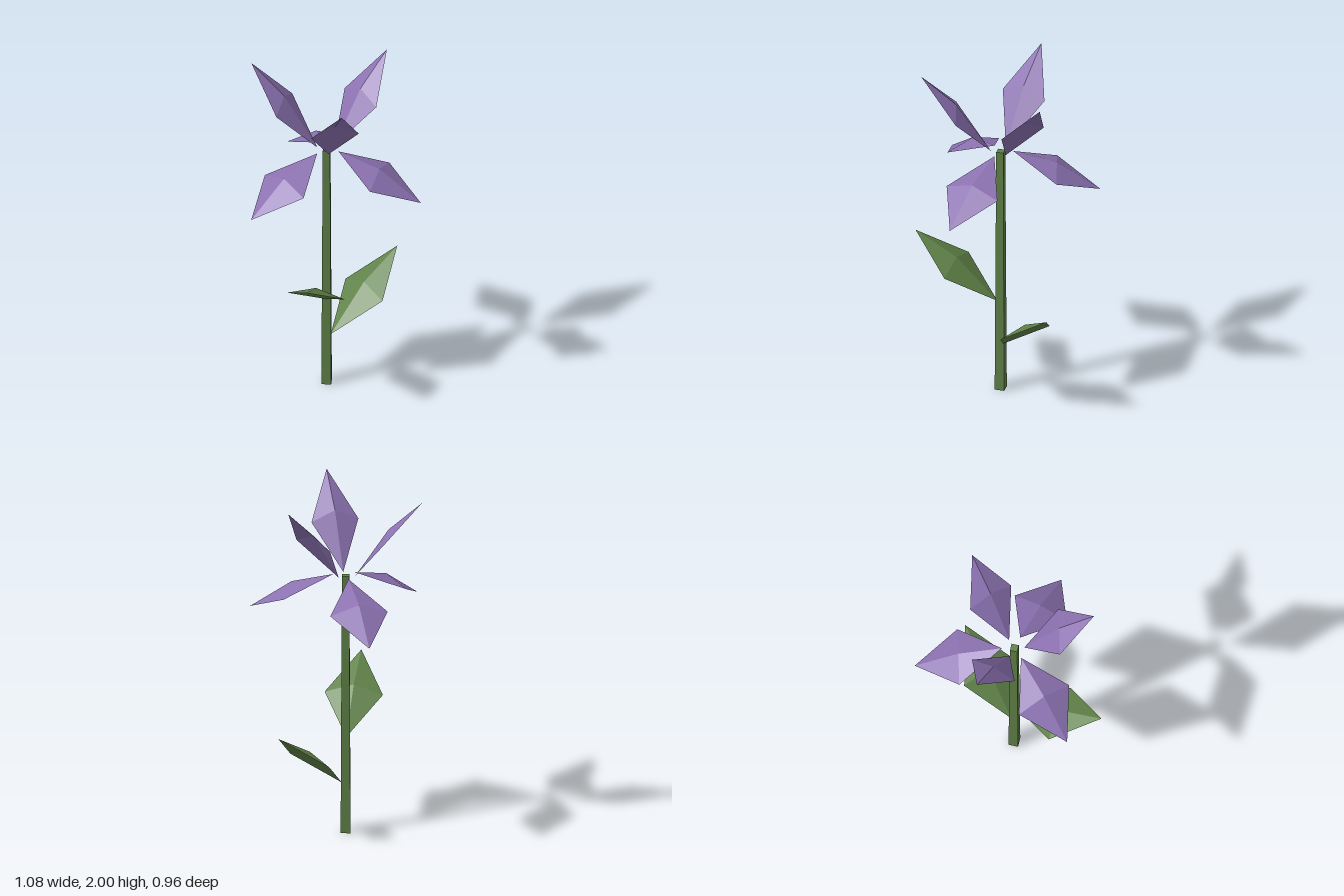
import * as THREE from 'three';

const material = (name, color) =>
  new THREE.MeshStandardMaterial({ name, color, flatShading: true, side: THREE.DoubleSide });

// Diamond blade pointing along +x: four facets meeting at a raised point on the midrib.
// Base and tip are [radius, height]; the blade is an open folded sheet.
function bladeGeometry(base, tip, halfWidth, ridge) {
  const r = (base[0] + tip[0]) / 2;
  const y = (base[1] + tip[1]) / 2;
  const rim = [
    [base[0], base[1], 0],
    [r, y, halfWidth],
    [tip[0], tip[1], 0],
    [r, y, -halfWidth],
  ];
  const top = [r, y + ridge, 0];
  const points = rim.flatMap((p, i) => [p, rim[(i + 1) % 4], top]).flat();
  const geometry = new THREE.BufferGeometry();
  geometry.setAttribute('position', new THREE.Float32BufferAttribute(points, 3));
  geometry.computeVertexNormals();
  return geometry;
}

export function createModel() {
  const purple = material('petal purple', 0x8b71b0);
  const green = material('leaf green', 0x5f8147);

  // Everything is arranged around the stem axis, slightly off centre
  const model = new THREE.Group();
  model.name = 'flower';
  const plant = new THREE.Group();
  plant.name = 'plant';
  plant.position.x = 0.015;
  model.add(plant);

  const add = (name, geometry, mat, degrees = 0) => {
    const mesh = new THREE.Mesh(geometry, mat);
    mesh.name = name;
    mesh.rotation.y = -THREE.MathUtils.degToRad(degrees);
    plant.add(mesh);
  };

  // Square tapered stem
  const stem = new THREE.CylinderGeometry(0.029, 0.039, 1.525, 4);
  stem.translate(0, 1.525 / 2, 0);
  add('stem', stem, green);

  // Three upright petals alternating with three drooping ones
  const upright = bladeGeometry([0.055, 1.525], [0.445, 2], 0.135, 0.06);
  const drooping = bladeGeometry([0.07, 1.525], [0.557, 1.285], 0.165, 0.053);
  for (let i = 0; i < 3; i++) {
    add(`uprightPetal${i + 1}`, upright, purple, i * 120);
    add(`droopingPetal${i + 1}`, drooping, purple, i * 120 + 60);
  }

  // Two leaves on the stem
  add('lowerLeaf', bladeGeometry([0.03, 0.3], [0.522, 0.683], 0.158, 0.053), green);
  add('upperLeaf', bladeGeometry([0.02, 0.555], [0.522, 0.895], 0.165, 0.053), green, 143.5);

  return model;
}
